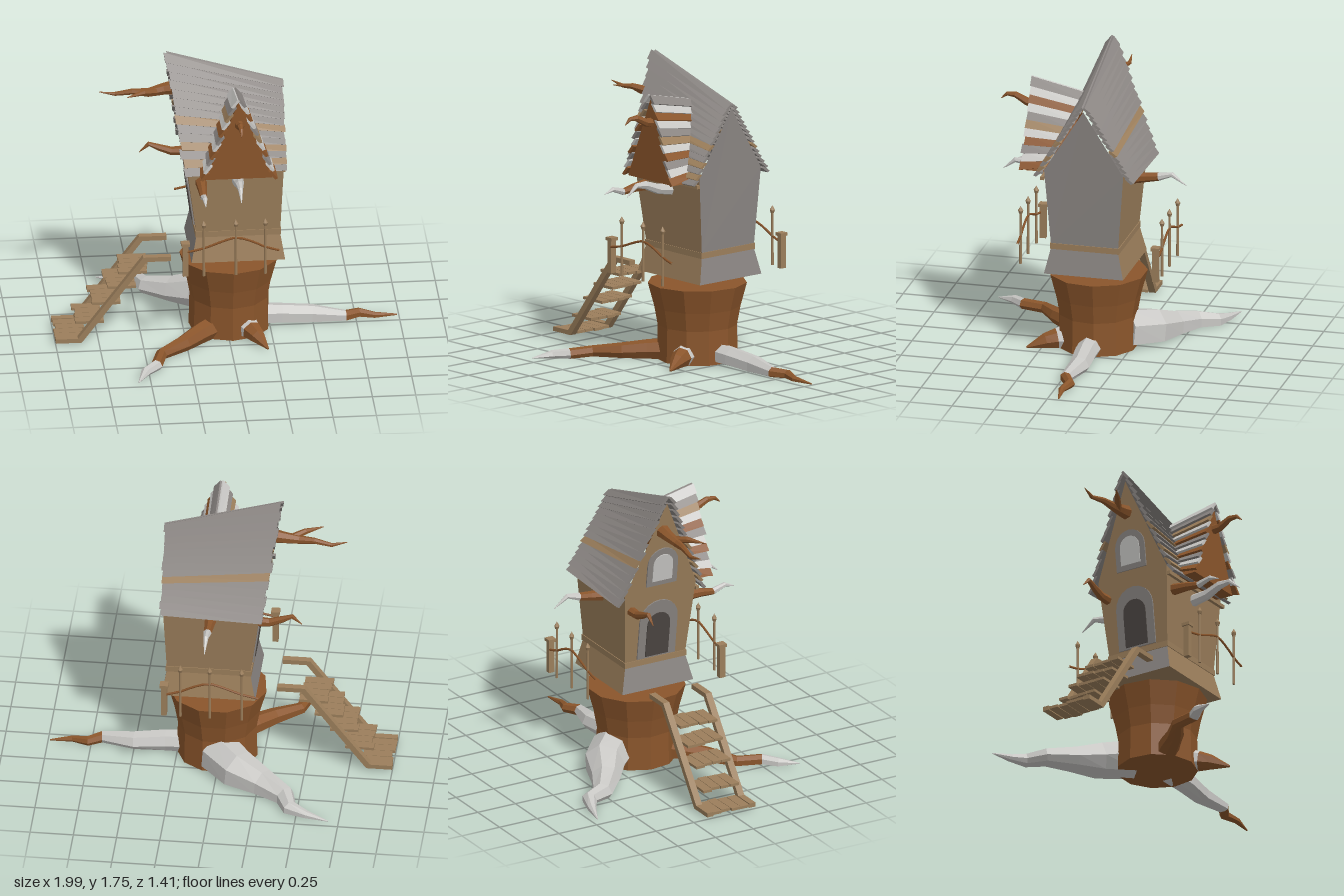
import * as THREE from 'three';

const mat = (name, color) => Object.assign(new THREE.MeshStandardMaterial({ color }), { name });
const brown = mat('bark brown', 0x8a552b);
const tan = mat('plank tan', 0x9b7e5b);
const gray = mat('weathered gray', 0x8a8582);
const pale = mat('pale wood', 0xc8c7c4);
const dark = mat('dark opening', 0x4d4743);

const lerp = THREE.MathUtils.lerp;
const V = (x, y, z) => new THREE.Vector3(x, y, z);
let seed = 7;
const rnd = () => ((seed = (seed * 16807) % 2147483647) / 2147483647) - 0.5;

// Flat polygons, fan-triangulated; corners counter-clockwise from outside
function faces(polys) {
  const out = [];
  for (const p of polys)
    for (let i = 1; i < p.length - 1; i++) out.push(...p[0], ...p[i], ...p[i + 1]);
  const g = new THREE.BufferGeometry();
  g.setAttribute('position', new THREE.Float32BufferAttribute(out, 3));
  g.computeVertexNormals();
  return g;
}

// Closed solid through equal-sized rings, turned outward if wound inward
function loft(rings) {
  const polys = [[...rings[0]].reverse(), rings.at(-1)];
  for (let k = 0; k < rings.length - 1; k++) {
    const a = rings[k], b = rings[k + 1], n = a.length;
    for (let i = 0; i < n; i++) polys.push([a[i], a[(i + 1) % n], b[(i + 1) % n], b[i]]);
  }
  let vol = 0;
  for (const p of polys)
    for (let i = 1; i < p.length - 1; i++) vol += p[0].dot(p[i].clone().cross(p[i + 1]));
  return faces(vol < 0 ? polys.map((p) => [...p].reverse()) : polys);
}

function add(parent, name, geo, material, x = 0, y = 0, z = 0) {
  const m = new THREE.Mesh(geo, material);
  m.name = name;
  m.position.set(x, y, z);
  parent.add(m);
  return m;
}

// Tapering crooked limb: points are [x, y, z, radius]; colour changes at the split point
function limb(parent, name, pts, first, split = pts.length - 1, second = first) {
  const rings = pts.map(([x, y, z, r], k) => {
    const a = V(...pts[Math.max(k - 1, 0)]), b = V(...pts[Math.min(k + 1, pts.length - 1)]);
    const w = b.sub(a).normalize();
    const u = V(0, 1, 0).cross(w).normalize(), v = w.clone().cross(u);
    return Array.from({ length: 7 }, (_, i) => {
      const t = (i / 7) * Math.PI * 2;
      const p = V(x, y, z).addScaledVector(u, r * Math.cos(t)).addScaledVector(v, r * Math.sin(t));
      p.y = Math.max(p.y, 0);
      return p;
    });
  });
  add(parent, name, loft(rings.slice(0, split + 1)), first);
  if (split < pts.length - 1) add(parent, name + 'Tip', loft(rings.slice(split)), second);
}

function buildTrunk(root) {
  const prof = [[0, 0], [0.235, 0], [0.23, 0.2], [0.25, 0.31], [0.288, 0.45], [0, 0.45]];
  const g = new THREE.LatheGeometry(prof.map((p) => new THREE.Vector2(...p)), 11).toNonIndexed();
  g.computeVertexNormals();
  add(root, 'trunk', g, brown, 0.02, 0, -0.045);

  limb(root, 'rightRoot', [[0.15, 0.05, -0.05, 0.07], [0.32, 0.045, -0.05, 0.065], [0.5, 0.03, -0.06, 0.06],
    [0.69, 0.025, -0.03, 0.035], [0.77, 0.02, -0.075, 0.03], [0.86, 0.012, -0.05, 0.02], [0.99, 0.005, -0.065, 0.004]], pale, 3, brown);
  limb(root, 'backRoot', [[0.0, 0.09, -0.2, 0.13], [-0.13, 0.07, -0.34, 0.12], [-0.28, 0.045, -0.42, 0.085],
    [-0.42, 0.03, -0.52, 0.06], [-0.46, 0.025, -0.63, 0.045], [-0.56, 0.015, -0.67, 0.025], [-0.69, 0.006, -0.71, 0.003]], pale);
  limb(root, 'frontLeftRoot', [[-0.05, 0.05, 0.06, 0.07], [-0.17, 0.045, 0.17, 0.06], [-0.27, 0.035, 0.27, 0.05],
    [-0.41, 0.025, 0.38, 0.035], [-0.45, 0.022, 0.52, 0.035], [-0.52, 0.015, 0.59, 0.03], [-0.57, 0.005, 0.7, 0.003]], brown, 4, pale);
  limb(root, 'frontRoot', [[0.09, 0.06, 0.08, 0.08], [0.13, 0.05, 0.17, 0.06], [0.16, 0.04, 0.23, 0.045], [0.21, 0.008, 0.33, 0.006]], pale, 1, brown);
}

const ZC = -0.037;
function buildHouse(root) {
  const house = new THREE.Group();
  house.name = 'house';
  root.add(house);
  // Wall levels: y, left x, right x, half depth
  const levels = [[0.51, -0.22, 0.32, 0.235], [0.66, -0.19, 0.295, 0.2], [0.69, -0.19, 0.295, 0.2], [1.14, -0.25, 0.315, 0.235]];
  const ring = ([y, l, r, d]) => [V(l, y, ZC + d), V(r, y, ZC + d), V(r, y, ZC - d), V(l, y, ZC - d)];
  const rings = levels.map(ring);
  const side = (k, i) => [rings[k][i], rings[k][(i + 1) % 4], rings[k + 1][(i + 1) % 4], rings[k + 1][i]];
  const tans = [[...rings[0]].reverse()], grays = [];
  for (let k = 0; k < 3; k++) {
    tans.push(side(k, 0), side(k, 2));
    if (k < 2) grays.push(side(k, 1), side(k, 3));
  }
  // Gable ends
  const gable = (i, peak) => [rings[2][i], rings[2][(i + 1) % 4], rings[3][(i + 1) % 4], peak, rings[3][i]];
  grays.push(gable(1, V(0.325, 1.52, ZC)));
  tans.push(gable(3, V(-0.325, 1.7, ZC)));
  add(house, 'plankWalls', faces(tans), tan);
  add(house, 'stoneWalls', faces(grays), gray);
  add(house, 'waistBand', new THREE.BoxGeometry(0.495, 0.035, 0.41), tan, 0.0525, 0.675, ZC);

  // Arched door and window on the leaning left gable
  const arch = (w, h) => {
    const s = new THREE.Shape();
    s.moveTo(-w / 2, 0).lineTo(w / 2, 0).lineTo(w / 2, h - w / 2);
    s.absarc(0, h - w / 2, w / 2, 0, Math.PI, false);
    return new THREE.ExtrudeGeometry(s, { depth: 0.008, bevelEnabled: false, curveSegments: 5 });
  };
  const plate = (name, w, h, y, lift, m) => {
    const p = add(house, name, arch(w, h), m, -0.19 - (y - 0.69) * 0.133 - lift, y, ZC);
    p.rotation.set(0.133, -Math.PI / 2, 0, 'YXZ');
  };
  plate('doorFrame', 0.25, 0.37, 0.7, 0, gray);
  plate('door', 0.15, 0.28, 0.71, 0.005, dark);
  plate('windowFrame', 0.2, 0.24, 1.17, 0, gray);
  plate('windowPane', 0.13, 0.17, 1.2, 0.005, pale);
}

// One overlapping board across a slope; at(end, t) gives slope points, n the outward normal
function board(parent, name, at, n, t0, t1, m) {
  const section = (e) => [[t0, -0.006], [t0, 0.01], [t1, 0.028], [t1, 0.01]]
    .map(([t, o]) => at(e, t).addScaledVector(n, o));
  add(parent, name, loft([section(0), section(1)]), m);
}

function buildRoof(root) {
  const roof = new THREE.Group();
  roof.name = 'mainRoof';
  root.add(roof);
  const N = 14;
  for (const s of [1, -1]) {
    for (let i = 0; i < N; i++) {
      const jl = rnd() * 0.018, jr = rnd() * 0.012;
      const at = (e, t) => e
        ? V(0.325 + jr, lerp(1.542, 1.1, t), ZC + s * 0.27 * t)
        : V(lerp(-0.352, -0.265, t) + jl, lerp(1.747, 1.085, t), ZC + s * 0.27 * t);
      const isTan = s > 0 ? [7, 10, 12].includes(i) : i === 8;
      board(roof, 'roofBoard', at, V(0, 0.45, s * 0.89), i / N, (i + 1.15) / N, isTan ? tan : gray);
    }
  }
  add(roof, 'eaveBeam', new THREE.BoxGeometry(0.57, 0.02, 0.02), tan, 0.035, 1.09, 0.21);

  const dormer = new THREE.Group();
  dormer.name = 'dormer';
  root.add(dormer);
  const X = 0.04;
  const tri = (z) => [V(X - 0.195, 1.1, z), V(X + 0.195, 1.1, z), V(X, 1.585, z)];
  const back = [V(X - 0.19, 1.1, 0.15), V(X + 0.19, 1.1, 0.15), V(X, 1.5, 0.02)];
  add(dormer, 'dormerGable', loft([back, tri(0.33)]), brown);
  const mats = [gray, pale, brown, pale, gray, tan, pale, brown, gray, pale, brown];
  const M = 11;
  for (const s of [1, -1]) {
    for (let i = 0; i < M; i++) {
      const j = rnd() * 0.02;
      const at = (e, t) => e
        ? V(X + s * 0.195 * t, lerp(1.605, 1.105, t), 0.343 + 0.012 * t + j)
        : V(X + s * 0.185 * t, lerp(1.53, 1.13, t), lerp(0, 0.2, t));
      board(dormer, 'dormerBoard', at, V(s * 0.93, 0.36, 0), i / M, (i + 1.15) / M, mats[(i + (s < 0 ? 3 : 0)) % M]);
    }
  }
}

function buildBranches(root) {
  const g = new THREE.Group();
  g.name = 'branches';
  root.add(g);
  limb(g, 'dormerBranch', [[0.04, 1.44, 0.3, 0.03], [0.045, 1.45, 0.37, 0.024], [0.04, 1.485, 0.44, 0.018], [0.04, 1.485, 0.49, 0.012], [0.04, 1.455, 0.525, 0.002]], brown);
  limb(g, 'frontBranch', [[0.045, 1.03, 0.18, 0.036], [0.045, 1.045, 0.28, 0.03], [0.04, 1.08, 0.37, 0.024], [0.04, 1.085, 0.44, 0.015], [0.04, 1.03, 0.51, 0.002]], pale);
  limb(g, 'frontLeftBranch', [[-0.165, 1.02, 0.18, 0.035], [-0.165, 1.015, 0.28, 0.026], [-0.165, 1.005, 0.36, 0.02], [-0.165, 1.03, 0.44, 0.014], [-0.165, 1.01, 0.5, 0.002]], brown, 2, pale);
  limb(g, 'backBranch', [[0.04, 1.04, -0.25, 0.036], [0.04, 1.05, -0.34, 0.028], [0.04, 1.06, -0.41, 0.024], [0.04, 1.08, -0.49, 0.015], [0.04, 1.02, -0.575, 0.002]], brown, 2, pale);
  limb(g, 'gableBranch', [[-0.28, 1.52, -0.05, 0.045], [-0.36, 1.51, -0.05, 0.035], [-0.45, 1.495, -0.04, 0.026], [-0.54, 1.5, -0.05, 0.018], [-0.64, 1.485, -0.06, 0.012], [-0.73, 1.505, -0.05, 0.002]], brown);
  limb(g, 'gableTwig', [[-0.4, 1.5, -0.04, 0.024], [-0.48, 1.52, 0.01, 0.018], [-0.58, 1.52, 0.07, 0.002]], brown);
  limb(g, 'sideBranch', [[-0.22, 1.03, -0.22, 0.03], [-0.3, 1.03, -0.22, 0.025], [-0.37, 1.055, -0.22, 0.02], [-0.43, 1.08, -0.22, 0.014], [-0.485, 1.03, -0.22, 0.002]], brown);
}

function buildRailing(parent, name, z, cornerX, cornerZ) {
  const g = new THREE.Group();
  g.name = name;
  parent.add(g);
  for (const x of [-0.165, 0.02, 0.19]) {
    add(g, 'railPost', new THREE.CylinderGeometry(0.007, 0.009, 0.31, 6), tan, x, 0.665, z);
    add(g, 'postCollar', new THREE.CylinderGeometry(0.016, 0.01, 0.018, 6), tan, x, 0.825, z);
    add(g, 'postFinial', new THREE.ConeGeometry(0.016, 0.028, 6), tan, x, 0.848, z);
  }
  add(g, 'cornerPost', new THREE.BoxGeometry(0.032, 0.19, 0.036), tan, cornerX, 0.605, cornerZ);
  add(g, 'cornerCap', new THREE.BoxGeometry(0.05, 0.018, 0.05), tan, cornerX, 0.71, cornerZ);
  const pts = [[-0.26, 0.665], [-0.165, 0.685], [-0.07, 0.72], [0.02, 0.745], [0.11, 0.72], [0.19, 0.68], [0.27, 0.655]];
  const path = new THREE.CatmullRomCurve3(pts.map(([x, y]) => V(x, y, z)));
  add(g, 'handrail', new THREE.TubeGeometry(path, 12, 0.007, 5), brown);
}

function buildStairs(root) {
  const g = new THREE.Group();
  g.name = 'stairs';
  root.add(g);
  // Bent side rails
  const line = [[-1, 0.012], [-0.85, 0.012], [-0.475, 0.51], [-0.335, 0.51], [-0.335, 0.538], [-0.495, 0.538], [-0.872, 0.038], [-1, 0.038]];
  const shape = new THREE.Shape(line.map((p) => new THREE.Vector2(...p)));
  for (const z of [-0.16, 0.12])
    add(g, 'stairRail', new THREE.ExtrudeGeometry(shape, { depth: 0.04, bevelEnabled: false }), tan, 0, 0, z);
  // Each tread is four loose planks
  for (const [x, y] of [[-0.91, 0.025], [-0.8, 0.12], [-0.71, 0.237], [-0.62, 0.335], [-0.545, 0.425]])
    for (let i = 0; i < 4; i++) {
      const p = add(g, 'treadPlank', new THREE.BoxGeometry(0.165, 0.016, 0.057), tan, x + rnd() * 0.02, y, -0.09 + i * 0.06);
      p.rotation.y = rnd() * 0.06;
    }
}

export function createModel() {
  const root = new THREE.Group();
  root.name = 'treeStumpHouse';
  buildTrunk(root);
  buildHouse(root);
  buildRoof(root);
  buildBranches(root);
  buildRailing(root, 'frontRailing', 0.37, -0.27, 0.355);
  buildRailing(root, 'backRailing', -0.47, 0.285, -0.457);
  buildStairs(root);
  return root;
}
